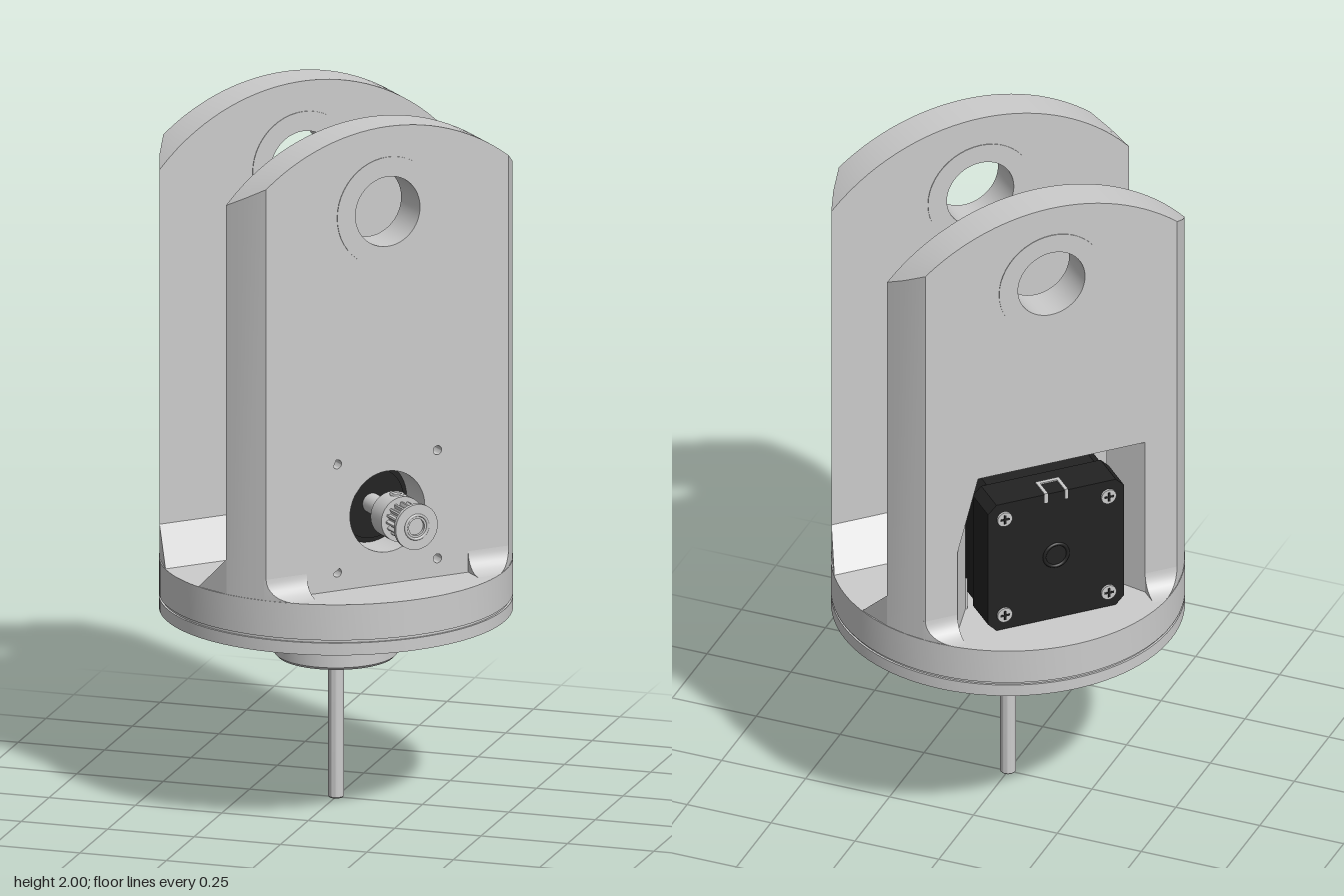
import * as THREE from 'three';
import { toCreasedNormals } from 'three/addons/utils/BufferGeometryUtils.js';

const grey = new THREE.MeshStandardMaterial({ color: 0xcccccc });
const black = new THREE.MeshStandardMaterial({ color: 0x222222 });

const R = 0.488;                 // turntable radius
const FLOOR = 0.69;              // top of the turntable
const AXIS = 0.897;              // motor axis height
const PIVOT = 1.757;             // bearing height
const IN = 0.2, OUT = 0.31;      // inner and outer face of each cheek plate
const halfWidth = (w) => Math.sqrt(0.487 ** 2 - w * w);
const topY = (u) => 1.4 + Math.sqrt(0.36 - u * u);

export function createModel() {
  const model = new THREE.Group();
  const body = new THREE.Group();
  body.name = 'rotatingHead';
  body.rotation.y = Math.PI / 4;
  model.add(body);

  const add = (name, geo, mat = grey, parent = body) => {
    const m = new THREE.Mesh(geo, mat);
    m.name = name;
    parent.add(m);
    return m;
  };
  const crease = (geo) => toCreasedNormals(geo, 0.5);
  const circle = (x, y, r) => new THREE.Path().absarc(x, y, r, 0, Math.PI * 2, true);
  const extrude = (shape, depth, steps = 1) =>
    new THREE.ExtrudeGeometry(shape, { depth, steps, bevelEnabled: false, curveSegments: 24 });
  const lathe = (pts, seg = 96) =>
    crease(new THREE.LatheGeometry(pts.map((p) => new THREE.Vector2(...p)), seg));
  // cylinder along z from z0 to z1
  const rod = (r, z0, z1, x = 0, y = 0, seg = 32) =>
    new THREE.CylinderGeometry(r, r, z1 - z0, seg).rotateX(Math.PI / 2).translate(x, y, (z0 + z1) / 2);

  // Turntable: drilled lower plate, groove, upper disc
  const lower = new THREE.Shape().absarc(0, 0, R, 0, Math.PI * 2);
  const angles = [0, 60, 120, 180, 240, 300].map((a) => a + 30).concat(180);
  for (const a of angles) {
    const t = THREE.MathUtils.degToRad(a);
    lower.holes.push(circle(Math.sin(t) * 0.355, Math.cos(t) * 0.355, 0.022));
  }
  const plateGeo = new THREE.ExtrudeGeometry(lower, { depth: 0.035, bevelEnabled: false, curveSegments: 48 });
  // angles are measured from the shaft-side axis, so lay the shape flat facing down
  add('lowerPlate', crease(plateGeo.rotateX(Math.PI / 2).rotateY(Math.PI / 2).translate(0, 0.58, 0)));
  add('turntable', lathe([[0, 0.58], [R - 0.006, 0.58], [R - 0.006, 0.588], [R, 0.588], [R, FLOOR], [0, FLOOR]]));

  // Hub with two set screws and the drive shaft
  add('hub', lathe([[0, 0.41], [0.162, 0.41], [0.17, 0.418], [0.17, 0.55], [0, 0.55]], 64));
  add('driveShaft', lathe([[0, 0], [0.018, 0], [0.022, 0.004], [0.022, 0.45], [0, 0.45]], 32));
  for (const a of [17, 107]) {
    const g = new THREE.Group();
    g.name = 'hubSetScrew';
    g.rotation.y = THREE.MathUtils.degToRad(a) - Math.PI / 4;
    add('screwRim', new THREE.TorusGeometry(0.02, 0.004, 8, 24).translate(0, 0.503, 0.167), grey, g);
    add('screwSocket', rod(0.018, 0.15, 0.17, 0, 0.503, 24), black, g);
    body.add(g);
  }

  // Cheek plate: arched outline; the sides follow the turntable's circle
  const cheek = (windowed) => {
    const h = halfWidth(IN), s = new THREE.Shape();
    s.moveTo(-h, 0.6);
    if (windowed) {
      s.lineTo(-0.25, 0.6);
      s.lineTo(-0.25, 1.15);
      s.lineTo(0.25, 1.15);
      s.lineTo(0.25, 0.6);
    }
    s.lineTo(h, 0.6);
    for (let i = 0; i <= 32; i++) {
      const u = h * (1 - i / 16);
      s.lineTo(u, topY(u));
    }
    s.closePath();
    s.holes.push(circle(0, PIVOT, 0.15));
    if (!windowed) {
      s.holes.push(circle(0, AXIS, 0.116));
      for (const x of [-0.155, 0.155]) for (const y of [-0.155, 0.155])
        s.holes.push(circle(x, AXIS + y, 0.013));
    }
    const geo = extrude(s, OUT - IN, 2), p = geo.attributes.position;
    for (let i = 0; i < p.count; i++) {
      let u = p.getX(i), y = p.getY(i);
      const z = p.getZ(i), t = z / (OUT - IN), a = Math.abs(u);
      if (a > 0.29) {
        u = Math.sign(u) * (0.29 + (a - 0.29) * (halfWidth(IN + z) - 0.29) / (h - 0.29));
        if (y > 1.5) y = topY(u);
      } else if (windowed && y < 1.3) {           // splayed window edges
        u = Math.sign(u) * (0.21 + 0.07 * t);
        if (y > 1) y = 1.125 + 0.05 * t;
      }
      p.setXYZ(i, u, y, IN + z);
    }
    return crease(geo);
  };

  // Base reinforcement: a (w, y) profile run from u0 out to the turntable rim
  const wedge = (points, u0) => {
    const geo = extrude(new THREE.Shape(points.map((q) => new THREE.Vector2(...q))), 1);
    const p = geo.attributes.position;
    for (let i = 0; i < p.count; i++) {
      const w = p.getX(i);
      p.setXYZ(i, -(p.getZ(i) > 0.5 ? halfWidth(w) : u0), p.getY(i), w);
    }
    return crease(geo);
  };
  const chamfer = [[IN + 0.002, FLOOR - 0.02], [IN - 0.1, FLOOR - 0.02], [IN - 0.1, FLOOR], [IN + 0.002, FLOOR + 0.1]];
  const fillet = [[OUT - 0.005, FLOOR - 0.01], [OUT + 0.06, FLOOR - 0.01]];
  for (let i = 0; i <= 8; i++) {
    const t = (i / 8) * Math.PI / 2;
    fillet.push([OUT + 0.06 * (1 - Math.sin(t)), FLOOR + 0.06 * (1 - Math.cos(t))]);
  }
  fillet.push([OUT - 0.005, FLOOR + 0.06]);

  for (const back of [false, true]) {
    const side = new THREE.Group();
    side.name = back ? 'backCheek' : 'frontCheek';
    side.rotation.y = back ? Math.PI : 0;
    body.add(side);
    add('cheekPlate', cheek(back), grey, side);
    for (const m of [1, -1]) {
      add('innerChamfer', wedge(chamfer, 0.205), grey, side).scale.x = m;
      add('outerFillet', wedge(fillet, back ? 0.28 : 0.25), grey, side).scale.x = m;
    }
    // Flush pivot bearing
    const ring = new THREE.Shape().absarc(0, 0, 0.156, 0, Math.PI * 2);
    ring.holes.push(circle(0, 0, 0.1));
    add('pivotBearing', crease(extrude(ring, OUT - IN + 0.004).translate(0, PIVOT, IN - 0.002)), grey, side);
  }

  // Motor with clipped corners, running through the back window
  const motor = new THREE.Group();
  motor.name = 'motor';
  motor.position.y = AXIS;
  body.add(motor);
  const square = (h, c) => new THREE.Shape([[h, c - h], [h, h - c], [h - c, h], [c - h, h],
    [-h, h - c], [-h, c - h], [c - h, -h], [h - c, -h]].map((q) => new THREE.Vector2(...q)));
  add('motorFrontCap', extrude(square(0.203, 0.025), 0.13).translate(0, 0, 0.068), black, motor);
  add('motorCore', extrude(square(0.2, 0.04), 0.33).translate(0, 0, -0.25), black, motor);
  add('motorBackCap', extrude(square(0.203, 0.025), 0.11).translate(0, 0, -0.345), black, motor);
  add('motorBoss', rod(0.1, 0.19, 0.215), black, motor);
  add('rearBearing', new THREE.TorusGeometry(0.035, 0.005, 8, 32).translate(0, 0, -0.345), black, motor);
  for (const x of [-0.155, 0.155]) for (const y of [-0.155, 0.155]) {
    add('motorScrew', rod(0.022, -0.352, -0.34, x, y, 24), grey, motor);
    for (const r of [0, Math.PI / 2])
      add('screwSlot', new THREE.BoxGeometry(0.028, 0.006, 0.004).rotateZ(r).translate(x, y, -0.3515), black, motor);
  }
  // Connector frame, open toward the rear
  for (const x of [-0.03, 0.03])
    add('connectorSide', new THREE.BoxGeometry(0.01, 0.03, 0.06).translate(x, 0.192, -0.317), grey, motor);
  add('connectorWall', new THREE.BoxGeometry(0.07, 0.03, 0.012).translate(0, 0.192, -0.285), grey, motor);

  // Toothed pulley on the motor shaft
  const pulley = new THREE.Group();
  pulley.name = 'pulley';
  pulley.position.y = AXIS;
  body.add(pulley);
  add('motorShaft', rod(0.028, 0.2, 0.4), grey, pulley);
  add('pulleyCollar', rod(0.065, 0.335, 0.4), grey, pulley);
  const gear = new THREE.Shape();
  for (let i = 0; i < 64; i++) {
    const a = (i / 64) * Math.PI * 2, r = i % 4 < 2 ? 0.051 : 0.042;
    gear[i ? 'lineTo' : 'moveTo'](Math.cos(a) * r, Math.sin(a) * r);
  }
  add('pulleyTeeth', extrude(gear, 0.08).translate(0, 0, 0.398), grey, pulley);
  const flange = new THREE.Shape().absarc(0, 0, 0.065, 0, Math.PI * 2);
  flange.holes.push(circle(0, 0, 0.024));
  add('pulleyFlange', crease(extrude(flange, 0.012).translate(0, 0, 0.475)), grey, pulley);
  add('pulleyRim', new THREE.TorusGeometry(0.034, 0.004, 8, 32).translate(0, 0, 0.487), grey, pulley);
  add('pulleySetScrew', new THREE.TorusGeometry(0.016, 0.004, 8, 24).rotateX(Math.PI / 2).translate(0, 0.064, 0.367), grey, pulley);

  return model;
}
